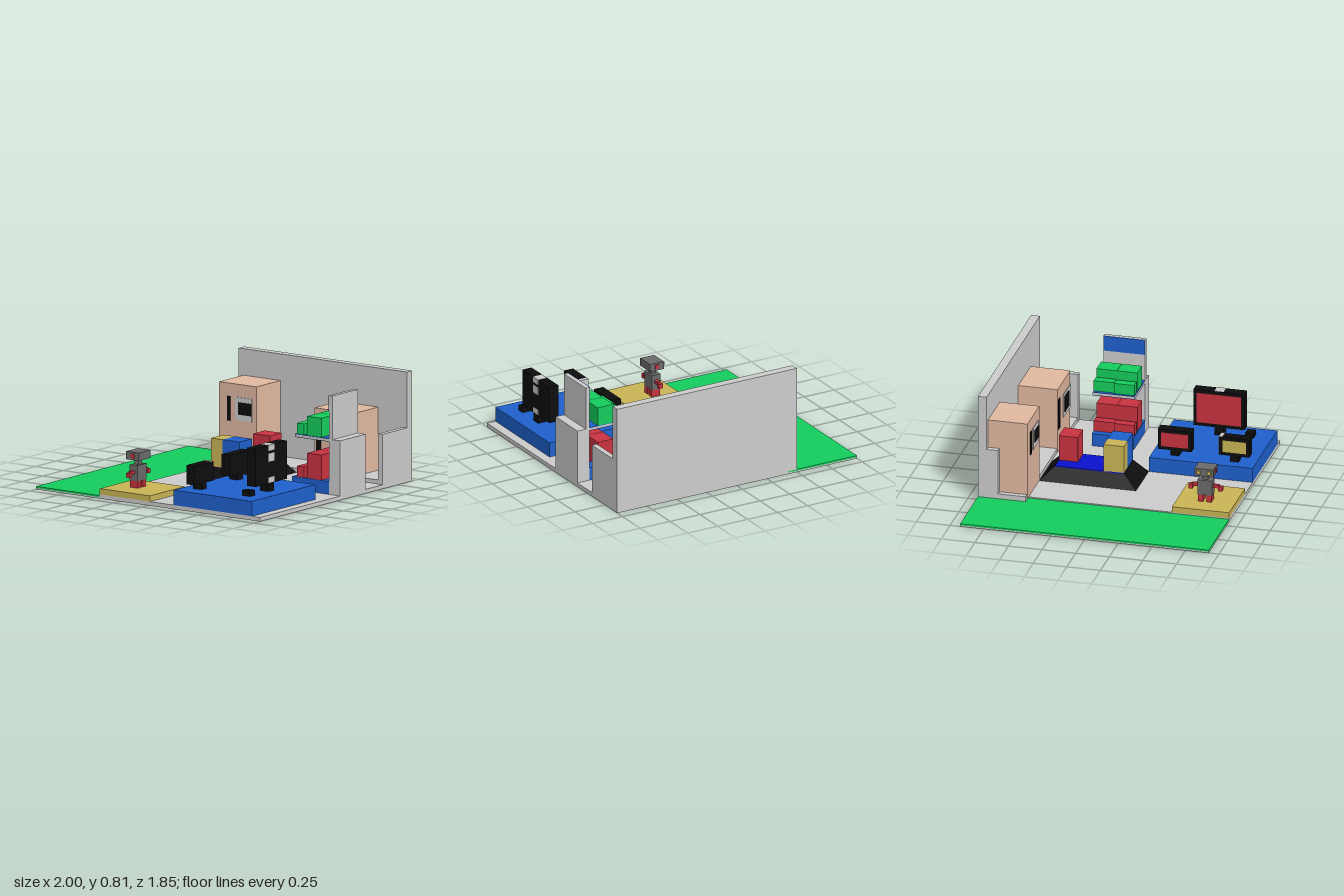
import * as THREE from 'three';

const mat = (c) => new THREE.MeshStandardMaterial({ color: c });
const M = {
  grey: mat(0xcccccc), green: mat(0x14cc5c), black: mat(0x0d0d0d), blue: mat(0x1e60cc),
  yellow: mat(0xc8b455), red: mat(0xc83240), peach: mat(0xe0b8a0), navy: mat(0x0a12cc), steel: mat(0x6a6a6a),
};

// Box given by its minimum and maximum on each axis
function box(parent, name, m, x0, x1, y0, y1, z0, z1) {
  const mesh = new THREE.Mesh(new THREE.BoxGeometry(x1 - x0, y1 - y0, z1 - z0), M[m]);
  mesh.position.set((x0 + x1) / 2, (y0 + y1) / 2, (z0 + z1) / 2);
  mesh.name = name;
  parent.add(mesh);
  return mesh;
}

function group(parent, name) {
  const g = new THREE.Group();
  g.name = name;
  parent.add(g);
  return g;
}

// Floor, lawn and walls
function buildRoom(root) {
  const g = group(root, 'room');
  box(g, 'baseSlab', 'grey', -1, 1, 0, 0.01, -0.925, 0.925);
  box(g, 'floor', 'grey', -0.43, 1, 0.01, 0.03, -0.925, 0.925);
  box(g, 'lawn', 'green', -1, -0.43, 0.01, 0.022, -0.925, 0.925);
  box(g, 'backWall', 'grey', -0.5, 1, 0, 0.81, -0.925, -0.86);
  box(g, 'plinth', 'grey', -0.5, 1, 0.01, 0.06, -0.86, -0.57);
  box(g, 'leftWallStub', 'grey', -0.5, -0.46, 0.06, 0.4, -0.86, -0.775);
  box(g, 'rightWallStub', 'grey', 0.96, 1, 0.03, 0.4, -0.86, -0.565);
}

// Cabinet with a slot, a panel and a screen on its front
function buildCabinet(root, name, x0, x1, top, slot, panel, screen) {
  const g = group(root, name);
  box(g, 'cabinetBody', 'peach', x0, x1, 0.03, top, -0.86, -0.567);
  box(g, 'slot', 'black', ...slot, -0.57, -0.562);
  box(g, 'panel', 'grey', ...panel, -0.57, -0.562);
  box(g, 'screen', 'black', ...screen, -0.57, -0.556);
}

// Sloped black stand with coloured blocks
function buildStand(root) {
  const g = group(root, 'blockStand');
  const geo = new THREE.BoxGeometry(0.36, 0.105, 0.72);
  const p = geo.attributes.position;
  for (let i = 0; i < p.count; i++) {
    if (p.getY(i) > 0) {
      p.setX(i, Math.sign(p.getX(i)) * 0.125);
      p.setZ(i, Math.sign(p.getZ(i)) * 0.257);
    }
  }
  geo.computeVertexNormals();
  const base = new THREE.Mesh(geo, M.black);
  base.position.set(0.05, 0.0825, -0.207);
  base.name = 'slopedBase';
  g.add(base);
  box(g, 'standTop', 'navy', -0.08, 0.175, 0.13, 0.138, -0.462, 0.05);
  box(g, 'yellowBlock', 'yellow', -0.08, 0.025, 0.135, 0.345, -0.1, 0.05);
  box(g, 'blueBlock', 'blue', 0.025, 0.175, 0.135, 0.345, -0.1, 0.05);
  box(g, 'redBlock', 'red', 0.025, 0.175, 0.135, 0.33, -0.462, -0.32);
}

// One deck of seats: two low and two high, side by side
function buildSeats(g, m, y, high) {
  [[-0.36, -0.208, 0.62], [-0.206, -0.055, 0.61]].forEach(([z0, z1, x]) => {
    box(g, 'lowSeat', m, x, x + 0.065, y, y + 0.08, z0, z1);
    box(g, 'highSeat', m, 0.7, 0.83, y, y + high, z0, z1);
  });
}

// Two-storey booth with its outer walls
function buildBooth(root) {
  const g = group(root, 'booth');
  box(g, 'outerWall', 'grey', 0.93, 1, 0.01, 0.435, -0.36, -0.05);
  box(g, 'tallWall', 'grey', 0.9, 0.93, 0.03, 0.755, -0.36, -0.05);
  box(g, 'wallPanel', 'blue', 0.894, 0.9, 0.64, 0.754, -0.36, -0.05);
  box(g, 'lowerDeck', 'blue', 0.57, 0.9, 0.03, 0.125, -0.36, -0.05);
  box(g, 'upperDeck', 'grey', 0.595, 0.9, 0.42, 0.436, -0.36, -0.05);
  box(g, 'deckTop', 'blue', 0.595, 0.9, 0.436, 0.44, -0.36, -0.05);
  box(g, 'deckUnderside', 'blue', 0.595, 0.9, 0.416, 0.42, -0.36, -0.05);
  buildSeats(g, 'red', 0.125, 0.185);
  buildSeats(g, 'green', 0.44, 0.14);
}

// Display on a short foot, its screen facing -x
function buildDisplay(root, name, x, y0, y1, z0, z1, screen) {
  const g = group(root, name);
  const zc = (z0 + z1) / 2;
  box(g, 'casing', 'black', x, x + 0.075, y0, y1, z0, z1);
  box(g, 'foot', 'black', x, x + 0.075, 0.14, y0, zc - 0.032, zc + 0.032);
  box(g, 'screen', screen, x - 0.003, x, y0 + 0.025, y1 - 0.025, z0 + 0.025, z1 - 0.025);
  return g;
}

function buildDisplays(root) {
  box(root, 'displayPlatform', 'blue', 0.23, 0.93, 0.03, 0.14, 0.155, 0.925);
  const big = buildDisplay(root, 'largeDisplay', 0.743, 0.2, 0.48, 0.35, 0.73, 'red');
  [[0.205, 0.245], [0.36, 0.42], [0.44, 0.482]].forEach(([a, b]) =>
    box(big, 'greyInset', 'grey', 0.746, 0.82, a, b, 0.505, 0.575));
  box(big, 'smallBox', 'black', 0.745, 0.815, 0.14, 0.18, 0.735, 0.795);
  const front = buildDisplay(root, 'frontDisplay', 0.31, 0.185, 0.325, 0.655, 0.88, 'yellow');
  box(front, 'greyInset', 'grey', 0.312, 0.384, 0.19, 0.328, 0.652, 0.68);
  buildDisplay(root, 'rearDisplay', 0.31, 0.18, 0.337, 0.2, 0.45, 'red');
}

// Little robot looking towards -x on its yellow platform
function buildRobot(root) {
  box(root, 'robotPlatform', 'yellow', -0.43, 0.02, 0.03, 0.073, 0.5, 0.925);
  const g = group(root, 'robot');
  box(g, 'body', 'steel', -0.285, -0.215, 0.125, 0.24, 0.65, 0.76);
  box(g, 'neck', 'steel', -0.265, -0.23, 0.24, 0.28, 0.685, 0.725);
  box(g, 'head', 'steel', -0.305, -0.19, 0.28, 0.338, 0.635, 0.775);
  for (const s of [-1, 1]) {
    const part = (name, m, x0, x1, y0, y1, a, b) => {
      const z = [0.705 + s * a, 0.705 + s * b].sort((p, q) => p - q);
      return box(g, name, m, x0, x1, y0, y1, ...z);
    };
    part('leg', 'red', -0.285, -0.215, 0.073, 0.125, 0.012, 0.05);
    part('upperArm', 'red', -0.26, -0.235, 0.178, 0.202, 0.05, 0.1);
    part('hand', 'red', -0.267, -0.232, 0.158, 0.192, 0.095, 0.125);
    part('ear', 'red', -0.26, -0.23, 0.295, 0.325, 0.07, 0.078);
    part('eye', 'yellow', -0.32, -0.305, 0.3, 0.325, 0.025, 0.053);
  }
}

export function createModel() {
  const root = new THREE.Group();
  root.name = 'exhibitionRoom';
  buildRoom(root);
  buildCabinet(root, 'leftCabinet', -0.46, -0.127, 0.615,
    [-0.385, -0.357, 0.34, 0.52], [-0.315, -0.165, 0.35, 0.52], [-0.285, -0.167, 0.395, 0.485]);
  buildCabinet(root, 'rightCabinet', 0.39, 0.745, 0.523,
    [0.407, 0.45, 0.205, 0.437], [0.54, 0.743, 0.24, 0.42], [0.565, 0.68, 0.275, 0.395]);
  buildStand(root);
  buildBooth(root);
  buildDisplays(root);
  buildRobot(root);
  return root;
}
